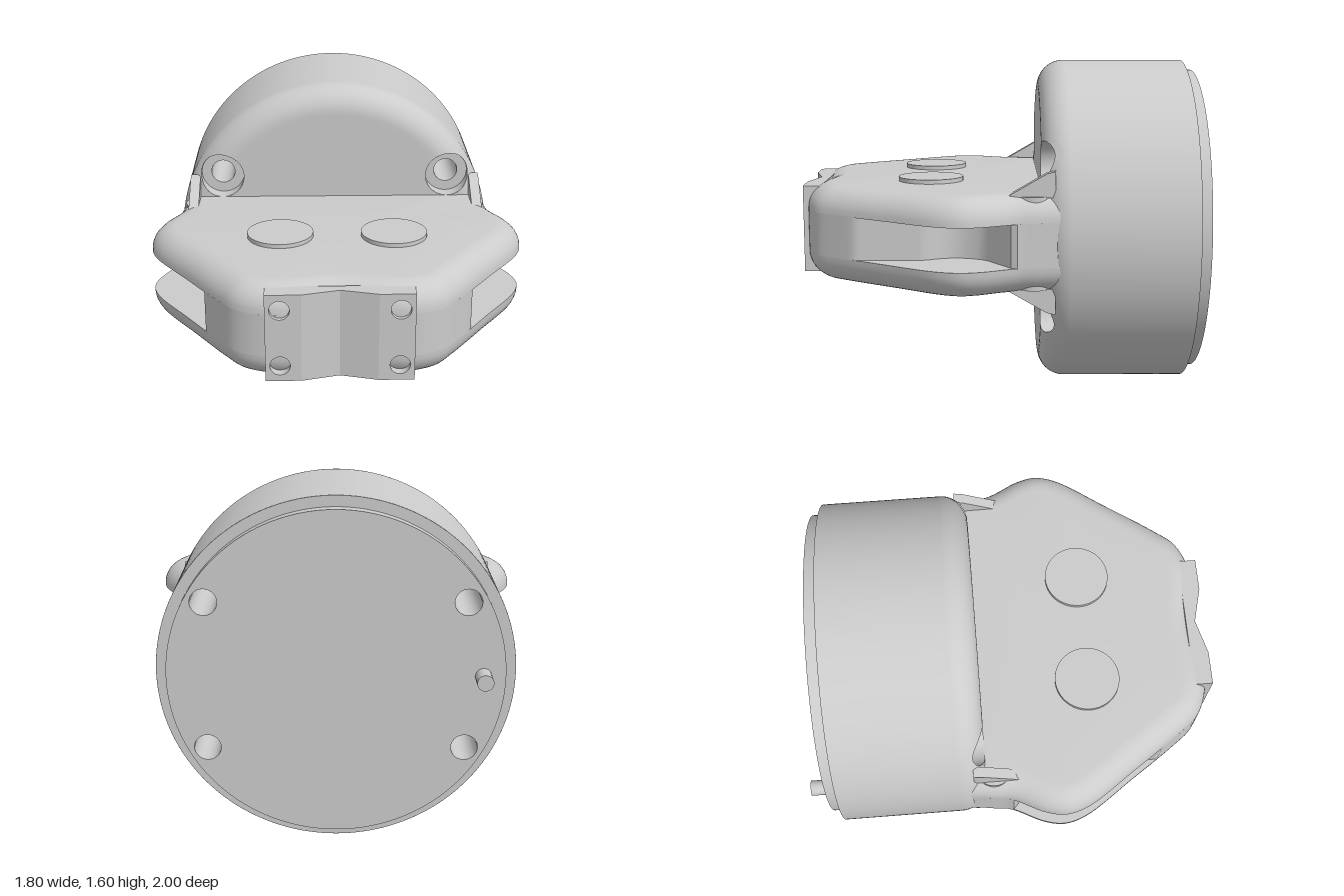
import * as THREE from 'three';
import { mergeVertices, toCreasedNormals } from 'three/addons/utils/BufferGeometryUtils.js';

const grey = new THREE.MeshStandardMaterial({ color: 0xcccccc, side: THREE.DoubleSide });
const CY = 0.8; // height of the drum axis
const BOLT = [0.575, 0.34], BORE = 0.11, HOLE = 0.06, FLOOR = -0.22;

function add(parent, name, geometry, x = 0, y = 0, z = 0) {
  const mesh = new THREE.Mesh(geometry, grey);
  mesh.name = name;
  mesh.position.set(x, y, z);
  parent.add(mesh);
  return mesh;
}

// Indexed grid of rows x cols points, wrapping around the columns
function gridGeometry(rows, cols, point, keep = () => true) {
  const pos = [], index = [];
  for (let j = 0; j < rows; j++) for (let i = 0; i < cols; i++) pos.push(...point(j, i));
  const tri = (a, b, c) => { if (keep(pos, a, b, c)) index.push(a, b, c); };
  for (let j = 0; j < rows - 1; j++) for (let i = 0; i < cols; i++) {
    const k = (i + 1) % cols, a = j * cols + i, b = j * cols + k;
    tri(a, a + cols, b);
    tri(b, a + cols, b + cols);
  }
  const g = new THREE.BufferGeometry();
  g.setAttribute('position', new THREE.Float32BufferAttribute(pos, 3));
  g.setIndex(index);
  return g;
}

// Depth of the rounded drum front at radius r
const frontZ = r => r < 0.67 ? -0.14 : -0.27 + Math.sqrt(Math.max(0, 0.0169 - (r - 0.67) ** 2));

// Drum shell with a filleted front and four counterbore openings
function drumShell() {
  const profile = [[0, -0.14]];
  for (let i = 0; i <= 14; i++) profile.push([0.48 + 0.19 * i / 14, -0.14]);
  for (let i = 1; i <= 14; i++) {
    const a = i / 14 * Math.PI / 2;
    profile.push([0.67 + 0.13 * Math.sin(a), -0.27 + 0.13 * Math.cos(a)]);
  }
  profile.push([0.8, -0.855]);
  const N = 300;
  const toBolt = (x, y) => [Math.sign(x) * BOLT[0], Math.sign(y) * BOLT[1]];
  const g = gridGeometry(profile.length, N, (j, i) => {
    const a = (i + 0.5) / N * Math.PI * 2, [r, z] = profile[j];
    let x = r * Math.cos(a), y = r * Math.sin(a);
    const [bx, by] = toBolt(x, y), d = Math.hypot(x - bx, y - by);
    if (z > -0.25 && Math.abs(d - BORE) < 0.011) {
      x = bx + (x - bx) * BORE / d;
      y = by + (y - by) * BORE / d;
      return [x, y, frontZ(Math.hypot(x, y))];
    }
    return [x, y, z];
  }, (p, ...t) => {
    const x = t.reduce((s, v) => s + p[v * 3], 0) / 3, y = t.reduce((s, v) => s + p[v * 3 + 1], 0) / 3;
    const [bx, by] = toBolt(x, y);
    return Math.hypot(x - bx, y - by) > BORE - 0.001 || t.some(v => p[v * 3 + 2] < -0.27);
  });
  const m = mergeVertices(g, 1e-5);
  m.computeVertexNormals();
  return m;
}

// Counterbore wall, trimmed to the drum front
function boreWall(bx, by) {
  const N = 40;
  const g = gridGeometry(2, N, (j, i) => {
    const a = i / N * Math.PI * 2, x = bx + BORE * Math.cos(a), y = by + BORE * Math.sin(a);
    return [x, y, j ? FLOOR : frontZ(Math.hypot(x, y))];
  });
  g.index.array.reverse(); // faces the bolt axis
  g.computeVertexNormals();
  return g;
}

// Stack of outlines, each ring being [inset, height], closed at both ends
function loft(plan, rings) {
  const N = plan.length, last = rings.length + 1;
  const g = gridGeometry(rings.length + 2, N, (j, i) => {
    const [inset, y] = rings[Math.min(Math.max(j - 1, 0), rings.length - 1)];
    if (j === 0 || j === last) return [0, y, 0.35];
    const p = plan[(i + N - 1) % N], q = plan[(i + 1) % N];
    const dx = q[0] - p[0], dz = q[1] - p[1], l = Math.hypot(dx, dz);
    return [plan[i][0] - dz / l * inset, y, plan[i][1] + dx / l * inset];
  });
  return toCreasedNormals(g, 0.6);
}

function extrude(pts, depth, holes = []) {
  const s = new THREE.Shape(pts.map(p => new THREE.Vector2(...p)));
  for (const [x, y, r] of holes) s.holes.push(new THREE.Path().absarc(x, y, r, 0, Math.PI * 2, true));
  return new THREE.ExtrudeGeometry(s, { depth, bevelEnabled: false, curveSegments: 24 });
}

export function createModel() {
  const model = new THREE.Group();
  model.name = 'clampHousing';

  // Drum
  const drum = new THREE.Group();
  drum.name = 'drum';
  drum.position.y = CY;
  model.add(drum);
  add(drum, 'drumShell', drumShell());
  const rim = add(drum, 'drumBackRim', new THREE.RingGeometry(0.74, 0.8, 96), 0, 0, -0.855);
  rim.rotation.y = Math.PI;
  const bolts = [];
  for (const sx of [-1, 1]) for (const sy of [-1, 1]) bolts.push([sx * BOLT[0], sy * BOLT[1]]);
  for (const [x, y] of bolts) {
    add(drum, 'counterboreWall', boreWall(x, y));
    add(drum, 'counterboreFloor', new THREE.RingGeometry(HOLE, BORE, 40), x, y, FLOOR);
    const tube = new THREE.CylinderGeometry(HOLE, HOLE, 0.69, 32, 1, true).rotateX(Math.PI / 2);
    add(drum, 'boltHole', tube, x, y, FLOOR - 0.345);
  }

  // Back cover and its locating pin
  const circle = new THREE.Path().absarc(0, 0, 0.75, 0, Math.PI * 2).getPoints(96).slice(0, -1).map(p => [p.x, p.y]);
  const cover = extrude(circle, 0.07, bolts.map(b => [...b, HOLE]));
  add(drum, 'backCover', toCreasedNormals(cover, 0.6), 0, 0, -0.91);
  add(drum, 'locatingPin', new THREE.CylinderGeometry(0.037, 0.037, 0.12, 24).rotateX(Math.PI / 2), -0.65, 0, -0.94);

  // Outline of the front block, mirrored across x
  const half = [[0.74, -0.3], [0.79, -0.14], [0.805, -0.03], [0.88, 0.13], [0.9, 0.23], [0.87, 0.34],
    [0.7, 0.595], [0.54, 0.825], [0.46, 0.92], [0.33, 0.975], [0.2, 0.975]];
  const ctrl = [...half, [0, 0.945], ...half.map(([x, z]) => [-x, z]).reverse()];
  const curve = new THREE.CatmullRomCurve3(ctrl.map(([x, z]) => new THREE.Vector3(x, 0, z)), true);
  const plan = curve.getSpacedPoints(180).slice(0, -1).map(p => [p.x, p.z]);

  const block = new THREE.Group();
  block.name = 'frontBlock';
  block.position.y = CY;
  model.add(block);

  // Upper and lower jaws with rounded outer edges
  const rings = [[0, 0.1]];
  for (let i = 1; i <= 10; i++) {
    const a = i / 10 * Math.PI / 2;
    rings.push([0.125 * (1 - Math.cos(a)), 0.105 + 0.125 * Math.sin(a)]);
  }
  const jaw = loft(plan, rings);
  add(block, 'upperJaw', jaw);
  add(block, 'lowerJaw', jaw).scale.y = -1;

  // Core between the jaws, recessed at both sides to leave the slots
  const recess = z => z < 0.12 ? 0.8 - 0.19 * z / 0.12
    : z < 0.4 ? 0.61 - 0.05 * Math.sin((z - 0.12) / 0.28 * Math.PI) : 0.61;
  const corePlan = plan.map(([x, z]) =>
    z > 0 && z < 0.75 ? [Math.sign(x) * Math.min(Math.abs(x), recess(z)), z] : [x, z]);
  add(block, 'core', loft(corePlan, [[0, -0.102], [0, 0.102]]));

  for (const s of [-1, 1]) {
    // Round pads showing above and below the block
    add(block, 'roundPad', new THREE.CylinderGeometry(0.157, 0.157, 0.5, 48), s * 0.27, 0, 0.385);
    // Spot faces beside the drum
    add(block, 'spotFace', new THREE.CylinderGeometry(0.09, 0.09, 0.43, 32), s * 0.67, 0, -0.1);
    // Screw strips on the front plate
    const strip = extrude([[-0.065, -0.21], [0.065, -0.21], [0.065, 0.21], [-0.065, 0.21]], 0.09,
      [[0, 0.135, 0.045], [0, -0.135, 0.045]]);
    add(block, 'screwStrip', strip, s * 0.265, 0, 0.91);
    // Gussets joining block and drum
    for (const t of [-1, 1]) {
      const web = extrude([[-0.03, 0.21], [0.2, 0.21], [0.2, 0.33], [0.16, 0.32]], 0.05);
      web.rotateY(Math.PI / 2);
      const gusset = add(block, 'gusset', web, s * 0.715 - 0.025, 0, 0);
      gusset.scale.y = t;
    }
  }

  // V-shaped middle of the front plate
  const vee = extrude([[-0.2, -1], [-0.17, -1], [0, -0.955], [0.17, -1], [0.2, -1], [0.2, -0.91], [-0.2, -0.91]], 0.42);
  vee.rotateX(-Math.PI / 2);
  add(block, 'frontPlate', vee, 0, -0.21, 0);

  return model;
}
